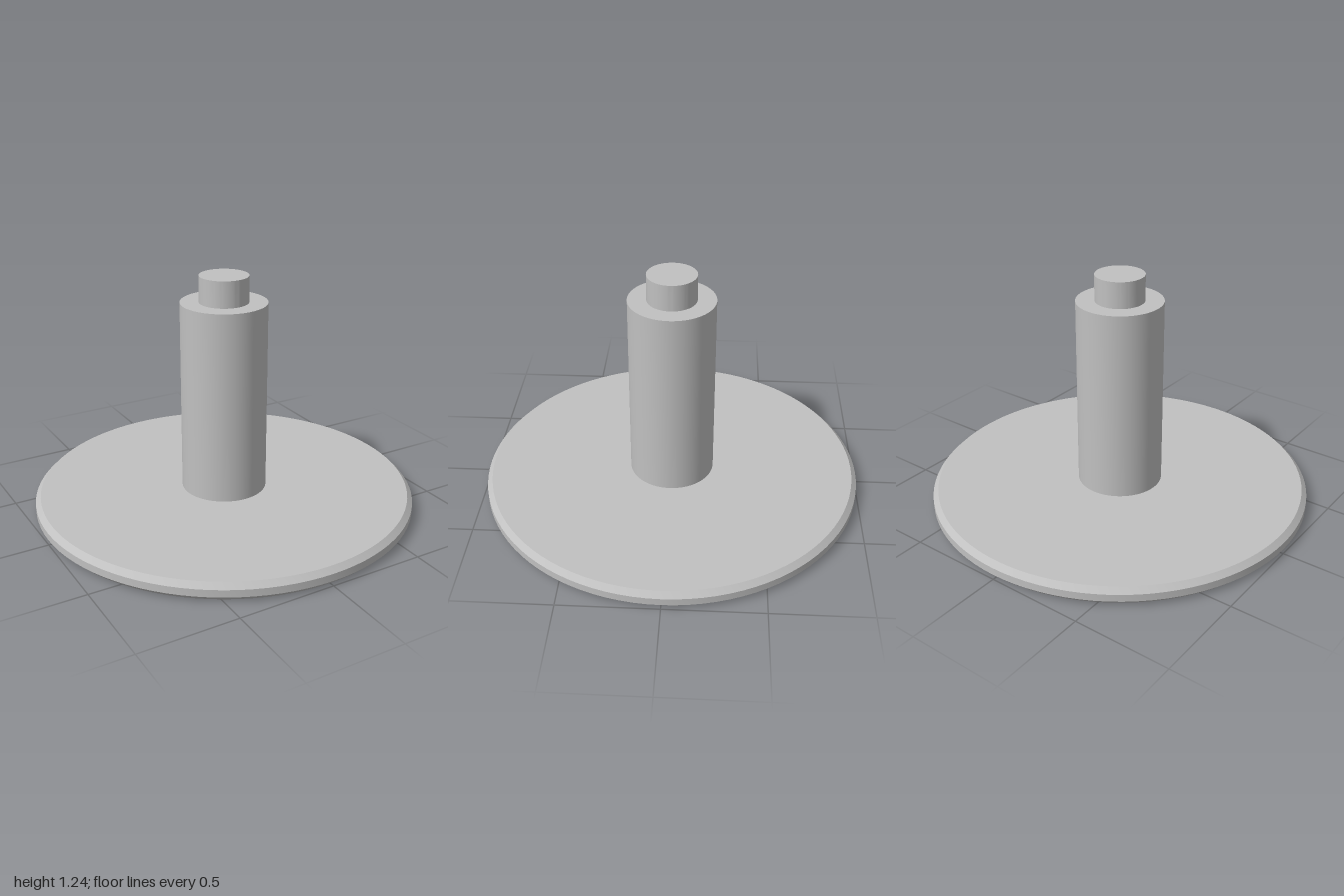
import * as THREE from 'three';
import { toCreasedNormals } from 'three/addons/utils/BufferGeometryUtils.js';

const SEGMENTS = 96;

export function createModel() {
  const model = new THREE.Group();
  model.name = 'discStand';

  const grey = new THREE.MeshStandardMaterial({ color: 0xc0c0c0 });
  grey.name = 'plain grey';

  // Turns a [radius, height] profile into a solid with crisp edges
  const turned = (name, profile) => {
    const points = profile.map(([r, y]) => new THREE.Vector2(r, y));
    const geometry = toCreasedNormals(new THREE.LatheGeometry(points, SEGMENTS), Math.PI / 6);
    const mesh = new THREE.Mesh(geometry, grey);
    mesh.name = name;
    model.add(mesh);
  };

  // Wide disc, chamfered above and below
  turned('baseDisc', [[0, 0], [0.973, 0], [1, 0.027], [1, 0.065], [0.973, 0.092], [0, 0.092]]);

  // Column standing on the disc
  turned('column', [[0, 0.08], [0.223, 0.08], [0.223, 1.1], [0, 1.1]]);

  // Short pin on top of the column
  turned('topPin', [[0, 1.09], [0.127, 1.09], [0.127, 1.237], [0, 1.237]]);

  return model;
}
